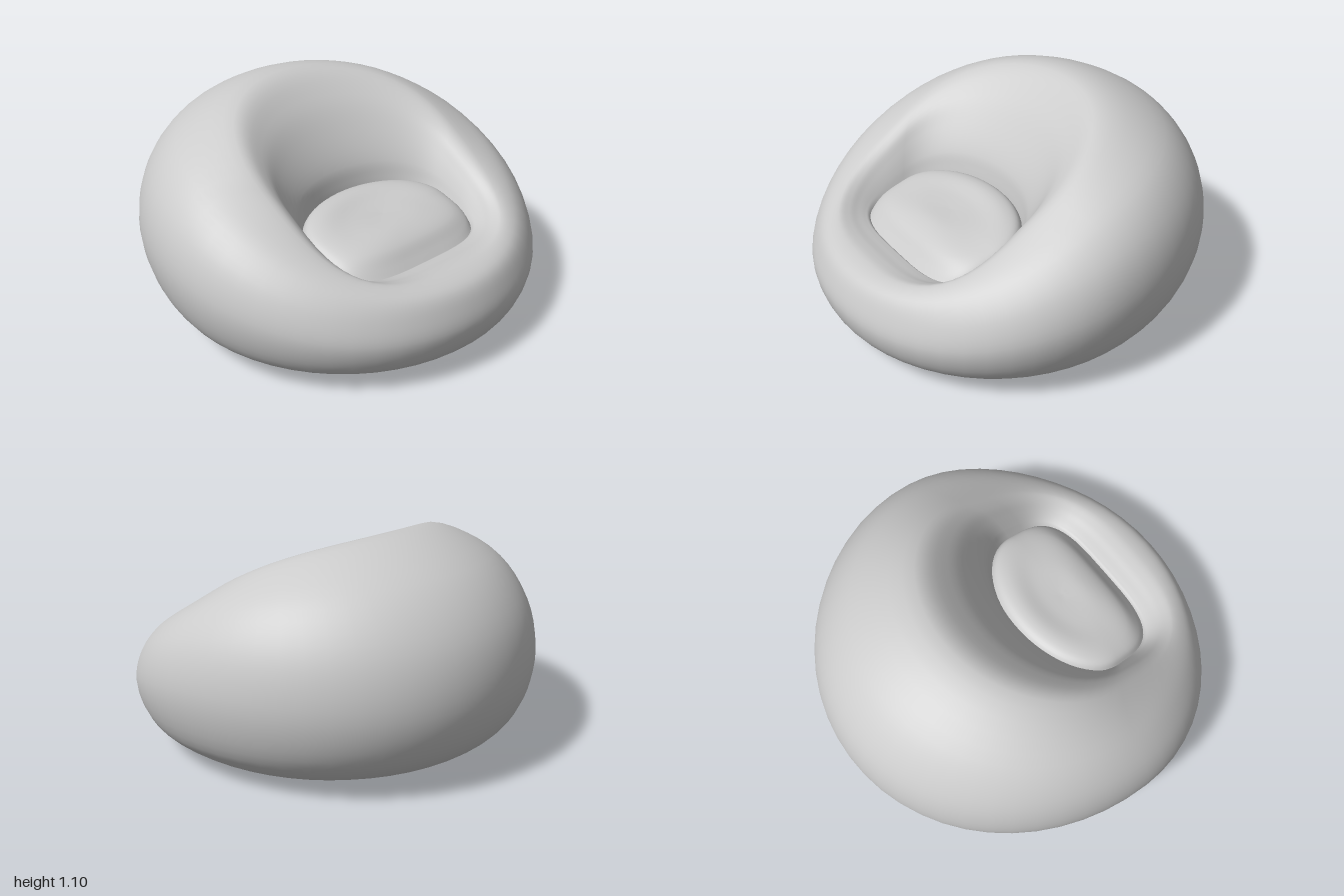
import * as THREE from 'three';

const SEGMENTS = 56;

// Ring: back x, front x, x of widest point, half width, y at back, y at front,
// extra y at the sides, squareness of the front half (1 = round)
const bagRings = [
  [0.08, 0.12, 0.10, 0.02, 0.01, 0.01, 0, 1],
  [-0.40, 0.60, 0.08, 0.60, 0.005, 0.0, 0, 1],
  [-0.73, 0.82, 0.08, 0.78, 0.06, 0.045, 0, 1],
  [-0.91, 0.935, 0.08, 0.92, 0.20, 0.11, 0.02, 1],
  [-0.99, 0.985, 0.08, 0.995, 0.44, 0.24, 0.09, 1],
  [-0.94, 0.965, 0.08, 0.95, 0.73, 0.35, 0.12, 1],
  [-0.74, 0.92, 0.09, 0.82, 0.97, 0.43, 0.09, 0.95],
  [-0.38, 0.83, 0.18, 0.62, 1.10, 0.465, 0.02, 0.75],
  [-0.20, 0.76, 0.25, 0.55, 0.985, 0.46, 0.02, 0.65],
  [-0.07, 0.71, 0.30, 0.505, 0.83, 0.447, 0.01, 0.6],
  [0.02, 0.67, 0.33, 0.47, 0.68, 0.437, 0, 0.57],
  [0.04, 0.65, 0.34, 0.455, 0.60, 0.43, 0, 0.56],
  [0.05, 0.635, 0.35, 0.44, 0.53, 0.41, 0, 0.56],
];
const cushionRings = [
  [0.03, 0.645, 0.34, 0.45, 0.53, 0.415, 0, 0.56],
  [0.07, 0.61, 0.35, 0.425, 0.585, 0.455, 0.01, 0.56],
  [0.14, 0.56, 0.36, 0.36, 0.60, 0.51, 0, 0.6],
  [0.24, 0.47, 0.36, 0.20, 0.575, 0.55, 0, 0.75],
  [0.34, 0.36, 0.35, 0.01, 0.56, 0.56, 0, 1],
];

function ringPoint([back, front, mid, half, yBack, yFront, ySide, square], t) {
  const c = Math.cos(t), s = Math.sin(t);
  const p = c > 0 ? square : 1;
  const x = mid + (c > 0 ? (front - mid) * c ** p : (mid - back) * c);
  const z = half * Math.sign(s) * Math.abs(s) ** p;
  // The slope from back to front eases out at both ends
  const u = (x - back) / (front - back);
  const eased = THREE.MathUtils.lerp(u, THREE.MathUtils.smoothstep(u, 0, 1), 0.4);
  const y = THREE.MathUtils.lerp(yBack, yFront, eased) + ySide * s ** 4;
  return new THREE.Vector3(x, y, z);
}

// Smooth skin through the rings, with the first and last optionally capped
function loft(rings, rows, capStart, capEnd) {
  const positions = [], index = [];
  const curves = [];
  for (let j = 0; j < SEGMENTS; j++) {
    const t = (j / SEGMENTS) * Math.PI * 2;
    curves.push(new THREE.CatmullRomCurve3(rings.map((r) => ringPoint(r, t))));
  }
  for (let i = 0; i <= rows; i++) {
    for (const curve of curves) positions.push(...curve.getPoint(i / rows).toArray());
  }
  for (let i = 0; i < rows; i++) {
    for (let j = 0; j < SEGMENTS; j++) {
      const k = (j + 1) % SEGMENTS;
      const a = i * SEGMENTS + j, b = a + SEGMENTS;
      const d = i * SEGMENTS + k, e = d + SEGMENTS;
      index.push(a, b, d, b, e, d);
    }
  }
  const last = rows * SEGMENTS;
  for (let j = 1; j < SEGMENTS - 1; j++) {
    if (capStart) index.push(0, j, j + 1);
    if (capEnd) index.push(last, last + j + 1, last + j);
  }
  const geometry = new THREE.BufferGeometry();
  geometry.setAttribute('position', new THREE.Float32BufferAttribute(positions, 3));
  geometry.setIndex(index);
  geometry.computeVertexNormals();
  return geometry;
}

export function createModel() {
  const group = new THREE.Group();
  group.name = 'beanBagChair';
  const material = new THREE.MeshStandardMaterial({ color: 0xcccccc, side: THREE.DoubleSide });

  // Soft body: floor, outer bulge, high back, arms and front lip
  const body = new THREE.Mesh(loft(bagRings, 60, true, false), material);
  body.name = 'body';

  // Padded seat sunk into the hollow
  const cushion = new THREE.Mesh(loft(cushionRings, 20, false, true), material);
  cushion.name = 'seatCushion';

  group.add(body, cushion);
  return group;
}
